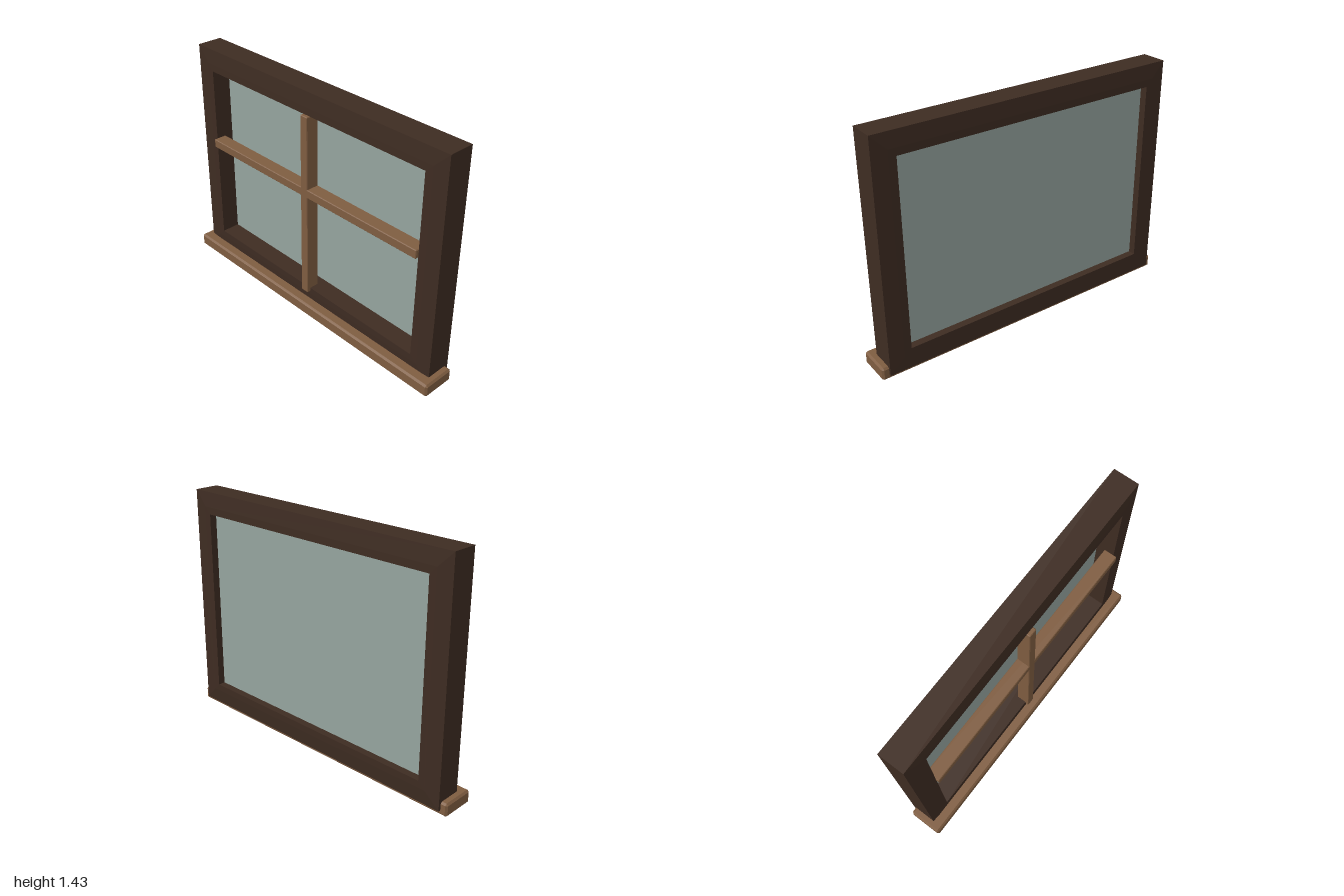
import * as THREE from 'three';
import { ConvexGeometry } from 'three/addons/geometries/ConvexGeometry.js';

const darkWood = new THREE.MeshStandardMaterial({ color: 0x3e2c22 });
darkWood.name = 'darkWood';
const lightWood = new THREE.MeshStandardMaterial({ color: 0x7f5d41 });
lightWood.name = 'lightWood';
const glassGreen = new THREE.MeshStandardMaterial({ color: 0x96a59f });
glassGreen.name = 'glassGreen';

function part(name, geometry, material) {
  const mesh = new THREE.Mesh(geometry, material);
  mesh.name = name;
  return mesh;
}

// Box with every edge chamfered by c
function chamferBox(w, h, d, c) {
  const points = [];
  for (const x of [-1, 1]) for (const y of [-1, 1]) for (const z of [-1, 1]) {
    const X = x * w / 2, Y = y * h / 2, Z = z * d / 2;
    points.push(
      new THREE.Vector3(X, Y - y * c, Z - z * c),
      new THREE.Vector3(X - x * c, Y, Z - z * c),
      new THREE.Vector3(X - x * c, Y - y * c, Z));
  }
  return new ConvexGeometry(points);
}

// Mitred frame: a closed [inset, z] profile swept around a rectangle
function mitredFrame(x0, x1, y0, y1, profile) {
  const ring = profile.map(([i, z]) => [
    [x0 + i, y0 + i, z], [x1 - i, y0 + i, z], [x1 - i, y1 - i, z], [x0 + i, y1 - i, z],
  ]);
  const positions = [];
  for (let j = 0; j < ring.length; j++) {
    const next = ring[(j + 1) % ring.length];
    for (let k = 0; k < 4; k++) {
      const a = ring[j][k], b = ring[j][(k + 1) % 4], c = next[(k + 1) % 4], d = next[k];
      positions.push(...a, ...b, ...c, ...a, ...c, ...d);
    }
  }
  const geometry = new THREE.BufferGeometry();
  geometry.setAttribute('position', new THREE.Float32BufferAttribute(positions, 3));
  geometry.computeVertexNormals();
  return geometry;
}

export function createModel() {
  const model = new THREE.Group();
  model.name = 'window';

  // Surround, with faces rising gently towards the opening
  const profile = [
    [0, -0.106], [0, 0.05], [0.09, 0.057], [0.133, 0.058],
    [0.133, -0.116], [0.09, -0.115],
  ];
  model.add(part('frame', mitredFrame(-0.96, 0.96, 0.03, 1.435, profile), darkWood));

  // Pane set towards the back of the opening
  const pane = part('glassPane', new THREE.BoxGeometry(1.66, 1.15, 0.012), glassGreen);
  pane.position.set(0, 0.72, -0.065);
  model.add(pane);

  // Crossed glazing bars
  const upright = part('verticalBar', chamferBox(0.054, 1.165, 0.084, 0.004), lightWood);
  upright.position.set(0, 0.72, 0.038);
  const crossbar = part('horizontalBar', chamferBox(1.656, 0.054, 0.084, 0.004), lightWood);
  crossbar.position.set(0, 0.83, 0.038);
  model.add(upright, crossbar);

  // Sill
  const sill = part('sill', chamferBox(2, 0.08, 0.206, 0.011), lightWood);
  sill.position.set(0, 0.04, 0.012);
  model.add(sill);

  return model;
}
